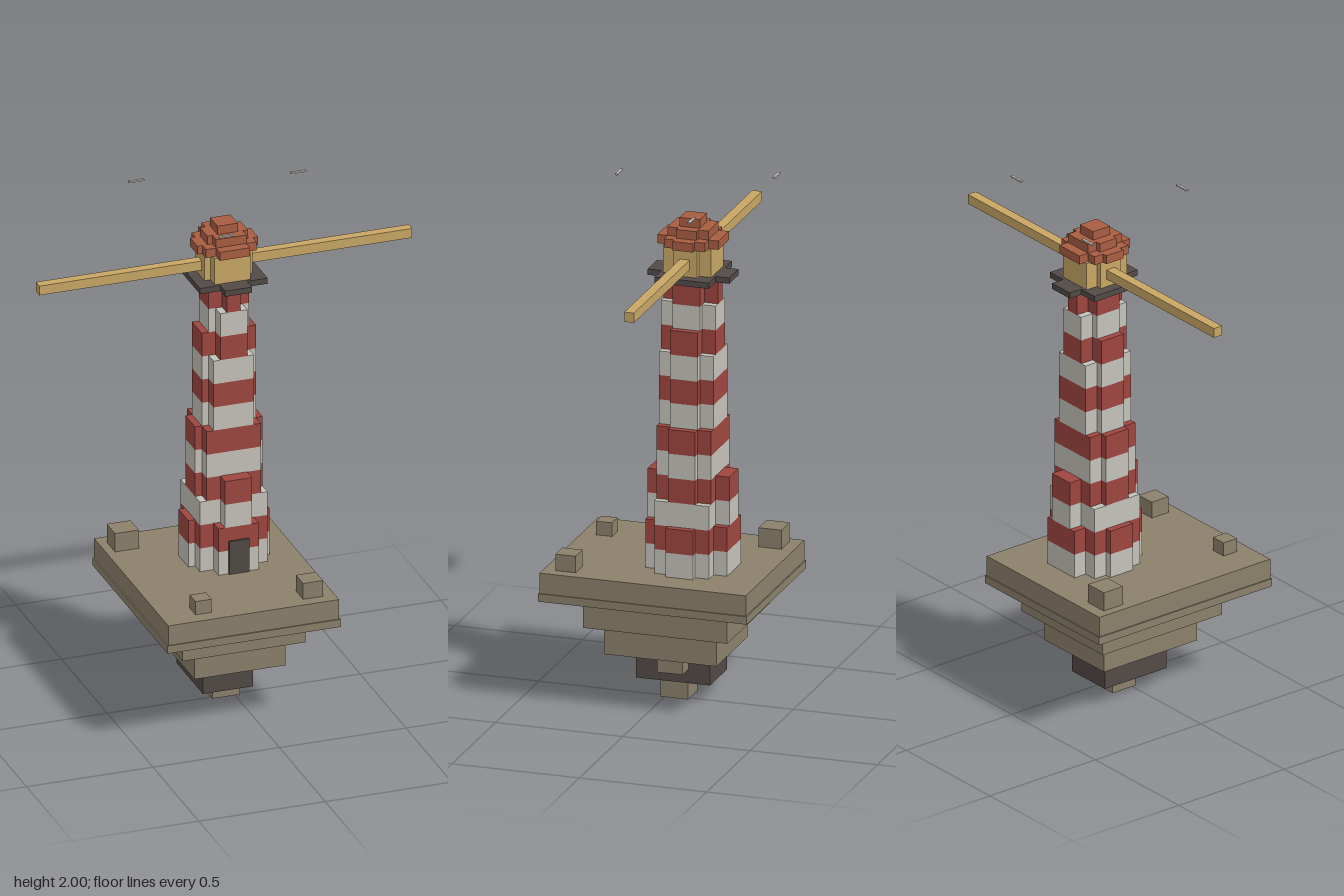
import * as THREE from 'three';

const TOWER_Z = -0.106; // tower axis

const colour = (name, hex) => {
  const m = new THREE.MeshStandardMaterial({ color: hex });
  m.name = name;
  return m;
};

export function createModel() {
  const rock = colour('rock brown', 0x8c806b);
  const dark = colour('dark stone', 0x524a47);
  const white = colour('white wall', 0xc4c2ba);
  const red = colour('red wall', 0x9e4640);
  const gold = colour('lamp gold', 0xc8a765);
  const roof = colour('roof tile', 0xa85d42);

  const model = new THREE.Group();

  // Box given by its limits on each axis
  function box(parent, name, mat, x0, x1, y0, y1, z0, z1) {
    const mesh = new THREE.Mesh(new THREE.BoxGeometry(x1 - x0, y1 - y0, z1 - z0), mat);
    mesh.position.set((x0 + x1) / 2, (y0 + y1) / 2, (z0 + z1) / 2);
    mesh.name = name;
    parent.add(mesh);
  }

  // Stepped disc: rows of bricks whose widths follow a circle, rounded to half bricks
  function disc(parent, name, mat, radius, brick, y0, y1) {
    const group = new THREE.Group();
    group.name = name;
    for (let dz = -2.5; dz <= 2.5; dz++) {
      if (Math.abs(dz) >= radius) continue;
      const half = Math.round(2 * Math.sqrt(radius * radius - dz * dz)) / 2 * brick;
      const z = TOWER_Z + dz * brick;
      box(group, name + 'Row', mat, -half, half, y0, y1, z - brick / 2, z + brick / 2);
    }
    parent.add(group);
  }

  // Floating island, stepping down to a point
  const island = new THREE.Group();
  island.name = 'island';
  model.add(island);
  box(island, 'topSlab', rock, -0.405, 0.27, 0.443, 0.523, -0.405, 0.405);
  box(island, 'rimSlab', rock, -0.41, 0.275, 0.412, 0.443, -0.41, 0.41);
  box(island, 'upperStep', rock, -0.297, 0.188, 0.297, 0.412, -0.304, 0.262);
  box(island, 'lowerStep', rock, -0.227, 0.133, 0.183, 0.297, -0.243, 0.198);
  box(island, 'darkStep', dark, -0.16, 0.038, 0.071, 0.183, -0.185, 0.106);
  box(island, 'sideStone', rock, 0.005, 0.105, 0.125, 0.183, -0.1, 0);
  box(island, 'tipStone', rock, -0.09, 0.02, 0, 0.071, -0.093, 0.015);

  // Boulders on the island
  box(island, 'boulder', rock, -0.372, -0.278, 0.523, 0.598, -0.358, -0.268);
  box(island, 'boulder', rock, -0.277, -0.213, 0.523, 0.577, 0.285, 0.348);
  box(island, 'boulder', rock, 0.145, 0.224, 0.523, 0.588, 0.279, 0.358);

  // Tapering striped tower
  const tower = new THREE.Group();
  tower.name = 'tower';
  model.add(tower);
  const base = 0.523, layer = 0.0952;
  for (let i = 0; i < 12; i++) {
    const y = base + i * layer;
    disc(tower, i % 2 ? 'redBand' : 'whiteBand', i % 2 ? red : white, 3 - 0.128 * i, 0.0535, y, y + layer);
  }
  box(tower, 'door', dark, -0.04, 0.04, 0.523, 0.658, 0.03, 0.062);

  // Gallery, lamp room and light beams
  disc(model, 'gallery', dark, 2.75, 0.0535, 1.664, 1.687);
  disc(model, 'lampRoom', gold, 2, 0.0475, 1.687, 1.795);
  for (const s of [-1, 1]) {
    const [x0, x1] = s < 0 ? [-0.737, -0.08] : [0.08, 0.737];
    box(model, 'lightBeam', gold, x0, x1, 1.717, 1.755, TOWER_Z - 0.019, TOWER_Z + 0.019);
  }

  // Stepped roof
  [3, 2, 1].forEach((r, i) => {
    const y = 1.795 + i * 0.0345;
    disc(model, 'roofLayer', roof, r, 0.04, y, y + 0.0345);
  });

  // Distant gulls
  for (const [x, z] of [[-0.26, -0.345], [-0.108, 0.222], [0.333, -0.213]]) {
    box(model, 'gull', white, x - 0.031, x + 0.031, 1.994, 2, z - 0.005, z + 0.005);
  }

  return model;
}
